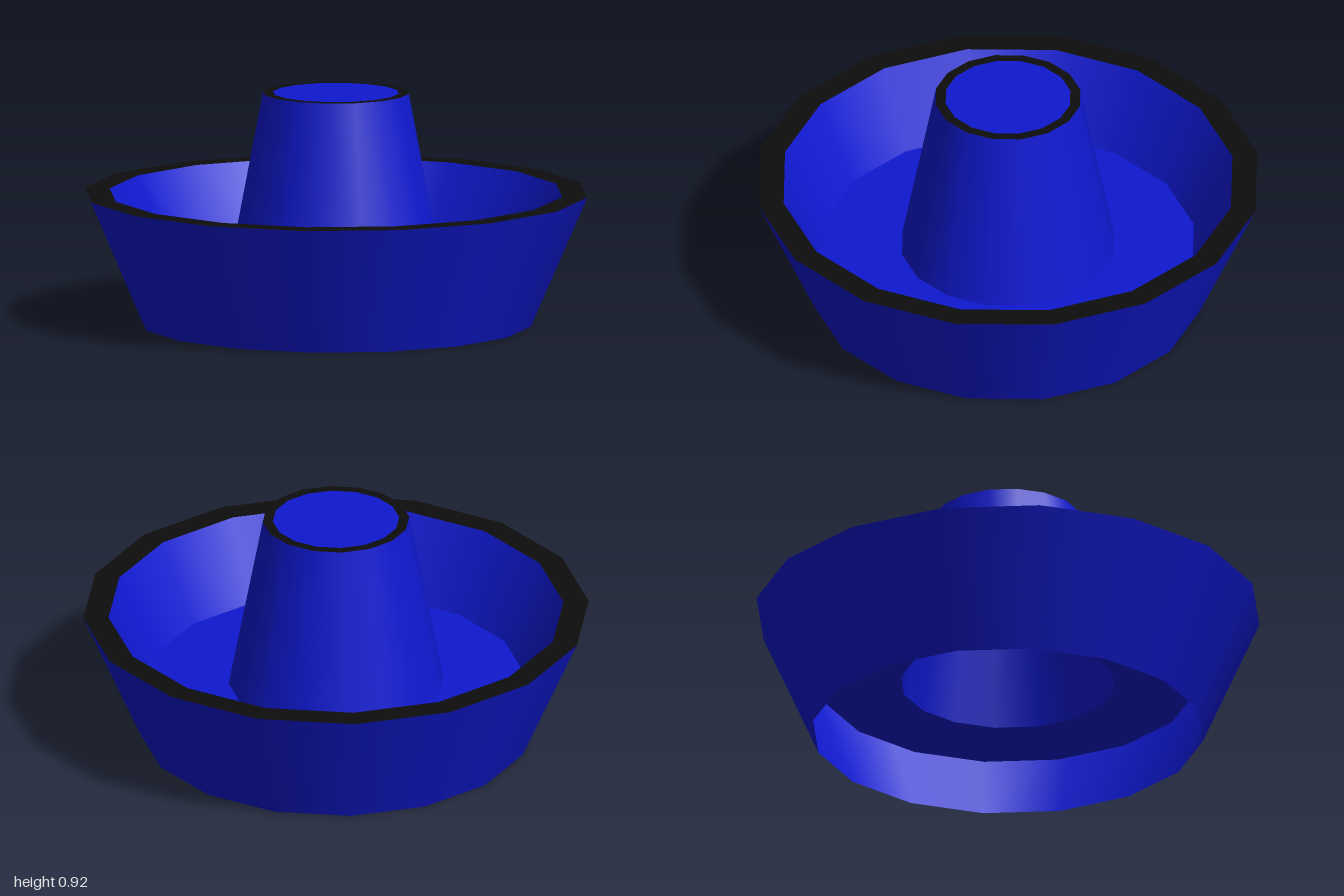
import * as THREE from 'three';

const SIDES = 16;
const blue = new THREE.MeshStandardMaterial({ color: 0x0f18d0, side: THREE.DoubleSide });
const black = new THREE.MeshStandardMaterial({ color: 0x0d0d0d, side: THREE.DoubleSide });

// One smooth 16-sided band between two [radius, height] points
function band(name, from, to, material) {
  const points = [from, to].map(([r, y]) => new THREE.Vector2(r, y));
  const mesh = new THREE.Mesh(new THREE.LatheGeometry(points, SIDES), material);
  mesh.name = name;
  return mesh;
}

export function createModel() {
  const model = new THREE.Group();
  model.name = 'ringPan';

  // Profile corners, from the foot over the rim and floor to the top of the tower
  const foot = [0.775, 0];
  const rimOuter = [1, 0.52];
  const rimInner = [0.9, 0.52];
  const floorOuter = [0.745, 0.21];
  const floorInner = [0.425, 0.21];
  const towerOuter = [0.29, 0.92];
  const towerInner = [0.25, 0.92];

  // Thin-walled bowl, open underneath
  model.add(
    band('outerWall', foot, rimOuter, blue),
    band('rim', rimOuter, rimInner, black),
    band('innerWall', rimInner, floorOuter, blue),
    band('floor', floorOuter, floorInner, blue)
  );

  // Tapered centre tower, hollow from below, with a black edge and a flat cap
  model.add(
    band('towerWall', floorInner, towerOuter, blue),
    band('towerEdge', towerOuter, towerInner, black),
    band('towerCap', towerInner, [0, 0.92], blue)
  );

  return model;
}
